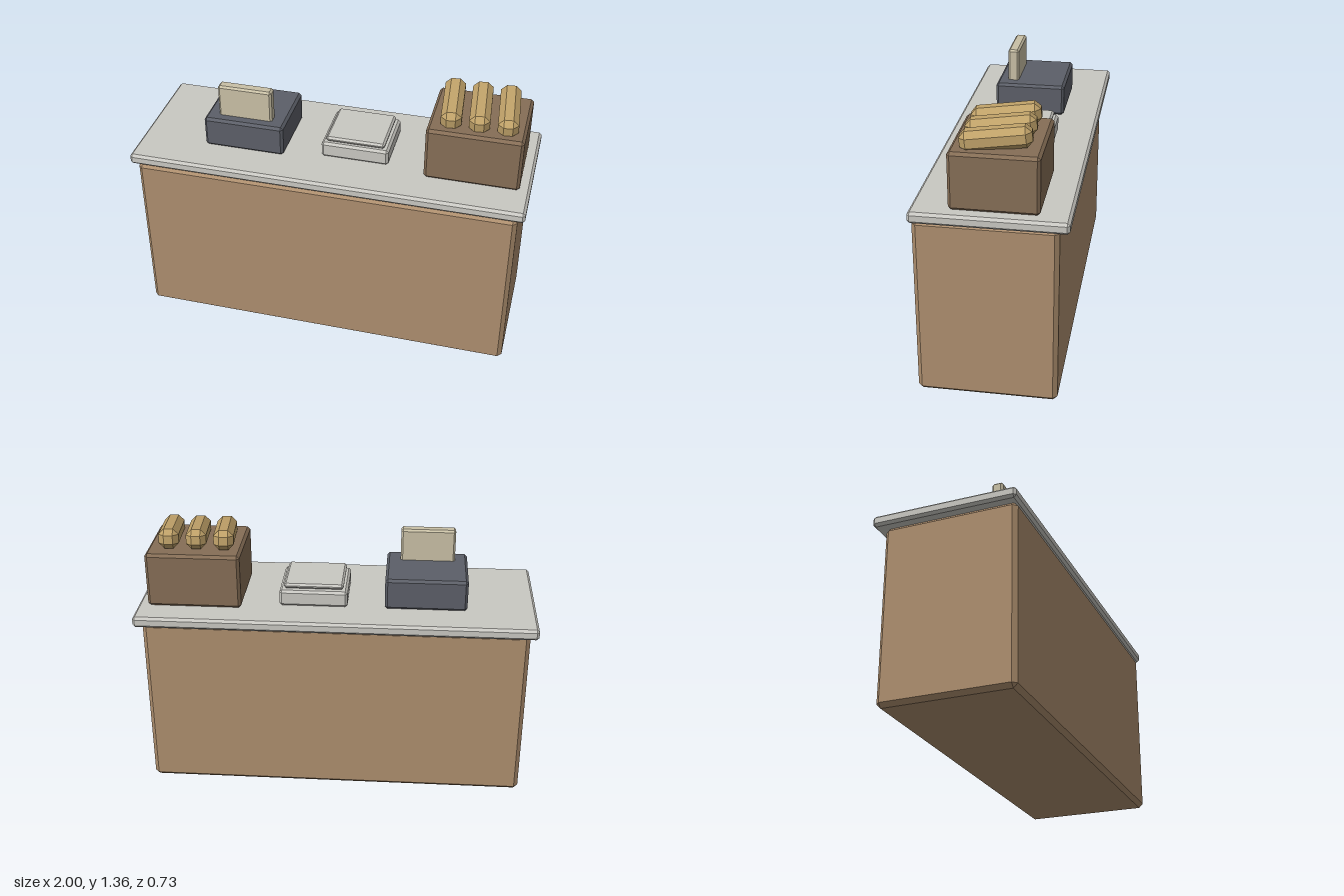
import * as THREE from 'three';
import { ConvexGeometry } from 'three/addons/geometries/ConvexGeometry.js';

const paint = (name, color) => {
  const m = new THREE.MeshStandardMaterial({ color });
  m.name = name;
  return m;
};

// Box with every edge chamfered by c, centred on the origin
function chamferBox(w, h, d, c) {
  const points = [];
  for (const x of [-w / 2, w / 2])
    for (const y of [-h / 2, h / 2])
      for (const z of [-d / 2, d / 2]) {
        const ix = x - Math.sign(x) * c, iy = y - Math.sign(y) * c, iz = z - Math.sign(z) * c;
        points.push(
          new THREE.Vector3(x, iy, iz),
          new THREE.Vector3(ix, y, iz),
          new THREE.Vector3(ix, iy, z));
      }
  return new ConvexGeometry(points);
}

export function createModel() {
  const group = new THREE.Group();
  group.name = 'shopCounter';
  const wood = paint('wood', 0xad8e6e);
  const stone = paint('pale stone', 0xc9c8c2);
  const slate = paint('dark slate', 0x5c5f68);
  const cream = paint('cream', 0xc9c0a6);
  const crateWood = paint('dark wood', 0x866e56);
  const crust = paint('bread crust', 0xc0a269);

  // Adds a chamfered box given its extents on each axis
  const block = (name, material, [x0, x1], [y0, y1], [z0, z1], c) => {
    const mesh = new THREE.Mesh(chamferBox(x1 - x0, y1 - y0, z1 - z0, c), material);
    mesh.position.set((x0 + x1) / 2, (y0 + y1) / 2, (z0 + z1) / 2);
    mesh.name = name;
    group.add(mesh);
  };

  // Counter
  block('counterBody', wood, [-0.965, 0.965], [0, 0.914], [-0.316, 0.357], 0.021);
  block('counterTop', stone, [-1, 1], [0.914, 0.97], [-0.366, 0.366], 0.013);

  // Cash register
  block('registerBase', slate, [-0.655, -0.243], [0.97, 1.131], [-0.182, 0.182], 0.013);
  block('registerScreen', cream, [-0.59, -0.313], [1.115, 1.297], [0.071, 0.129], 0.01);

  // Weighing scale
  block('scaleBase', stone, [-0.056, 0.287], [0.97, 1.053], [-0.179, 0.136], 0.012);
  block('scalePlate', stone, [-0.035, 0.265], [1.057, 1.083], [-0.16, 0.125], 0.01);

  // Bread crate with three tilted loaves
  block('breadCrate', crateWood, [0.475, 0.947], [0.97, 1.25], [-0.227, 0.189], 0.014);
  const loaf = chamferBox(0.1, 0.1, 0.325, 0.028);
  for (const x of [0.572, 0.709, 0.846]) {
    const mesh = new THREE.Mesh(loaf, crust);
    mesh.name = 'breadLoaf';
    mesh.position.set(x, 1.291, -0.016);
    mesh.rotation.set(0.115, 0.09, 0);
    group.add(mesh);
  }
  return group;
}
